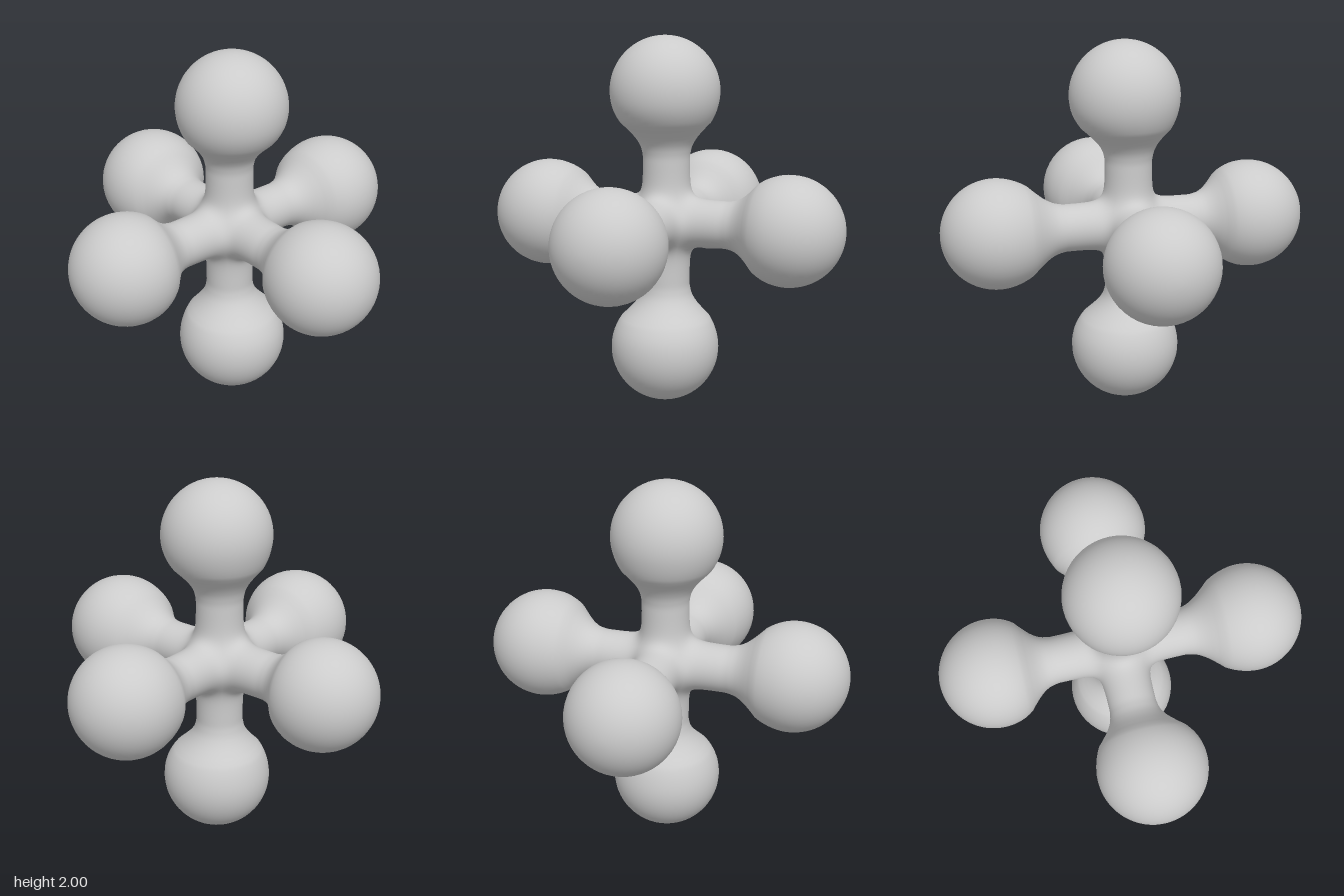
import * as THREE from 'three';
import { mergeGeometries, mergeVertices } from 'three/addons/utils/BufferGeometryUtils.js';

const SEGS = 48;        // around each arm (multiple of 8, so the arms meet at the mitres)
const NECK = 0.127;     // neck radius
const BLEND = 0.033;    // softness of the fillet where the necks meet
const BALL = 0.295, BALL_AT = 0.705, NECK_END = 0.36;

// Smooth union of three crossing cylinders; negative inside
function hubField(x, y, z) {
  const e = (a, b) => Math.exp((NECK - Math.hypot(a, b)) / BLEND);
  return -BLEND * Math.log(e(y, z) + e(x, z) + e(x, y));
}

// Where a field goes from inside to outside
function solve(f, lo, hi) {
  for (let i = 0; i < 40; i++) {
    const mid = (lo + hi) / 2;
    if (f(mid) < 0) lo = mid; else hi = mid;
  }
  return (lo + hi) / 2;
}

// Outer part of an arm: flare from neck to ball, then the ball's arc to its tip
function outerProfile() {
  const flare = new THREE.SplineCurve([
    [0.128, NECK_END], [0.14, 0.41], [0.17, 0.46], [0.215, 0.51],
  ].map(([r, h]) => new THREE.Vector2(r, h))).getPoints(9);
  const arc = [], start = -0.69;
  for (let i = 1; i <= 26; i++) {
    const a = start + (Math.PI / 2 - start) * i / 26;
    arc.push(new THREE.Vector2(Math.max(0, BALL * Math.cos(a)), BALL_AT + BALL * Math.sin(a)));
  }
  return [...flare, ...arc];
}

// One arm along +y, starting on the mitre planes it shares with its neighbours
function armGeometry() {
  const profile = outerProfile(), inner = 14, rows = inner + profile.length;
  const pos = [], index = [];
  for (let i = 0; i <= SEGS; i++) {
    const t = i / SEGS * Math.PI * 2, c = Math.cos(t), s = Math.sin(t);
    const m = Math.max(Math.abs(c), Math.abs(s));
    const r0 = solve(r => hubField(r * c, r * m, r * s), 0, 0.5);
    for (let j = 0; j < rows; j++) {
      let r, h;
      if (j < inner) {
        h = THREE.MathUtils.lerp(r0 * m, NECK_END, j / inner);
        r = j === 0 ? r0 : solve(q => hubField(q * c, h, q * s), 0, h / m);
      } else {
        ({ x: r, y: h } = profile[j - inner]);
      }
      pos.push(r * c, h, r * s);
    }
  }
  for (let i = 0; i < SEGS; i++) {
    for (let j = 0; j < rows - 1; j++) {
      const a = i * rows + j, b = a + rows;
      index.push(a, a + 1, b);
      if (j < rows - 2) index.push(b, a + 1, b + 1);
    }
  }
  const g = new THREE.BufferGeometry();
  g.setAttribute('position', new THREE.Float32BufferAttribute(pos, 3));
  g.setIndex(index);
  return g;
}

export function createModel() {
  const group = new THREE.Group();
  group.name = 'sixBallJack';

  // Six arms: up, down, front, back and both sides
  const q = Math.PI / 2, arm = armGeometry();
  const turns = [[0, 0], [2 * q, 0], [q, 0], [-q, 0], [0, q], [0, -q]];
  const arms = turns.map(([x, z]) => arm.clone().rotateX(x).rotateZ(z));
  const body = mergeVertices(mergeGeometries(arms), 1e-3);

  // The necks sit slightly to one side of the balls
  const p = body.attributes.position;
  for (let i = 0; i < p.count; i++) {
    const x = p.getX(i);
    const reach = Math.max(Math.abs(x), Math.abs(p.getY(i)), Math.abs(p.getZ(i)));
    p.setX(i, x - 0.02 * (1 - THREE.MathUtils.smoothstep(reach, 0.38, 0.65)));
  }
  body.translate(0, 1, 0);
  body.computeVertexNormals();

  const mesh = new THREE.Mesh(body, new THREE.MeshStandardMaterial({ color: 0xcccccc }));
  mesh.name = 'hubWithBallArms';
  group.add(mesh);
  return group;
}
